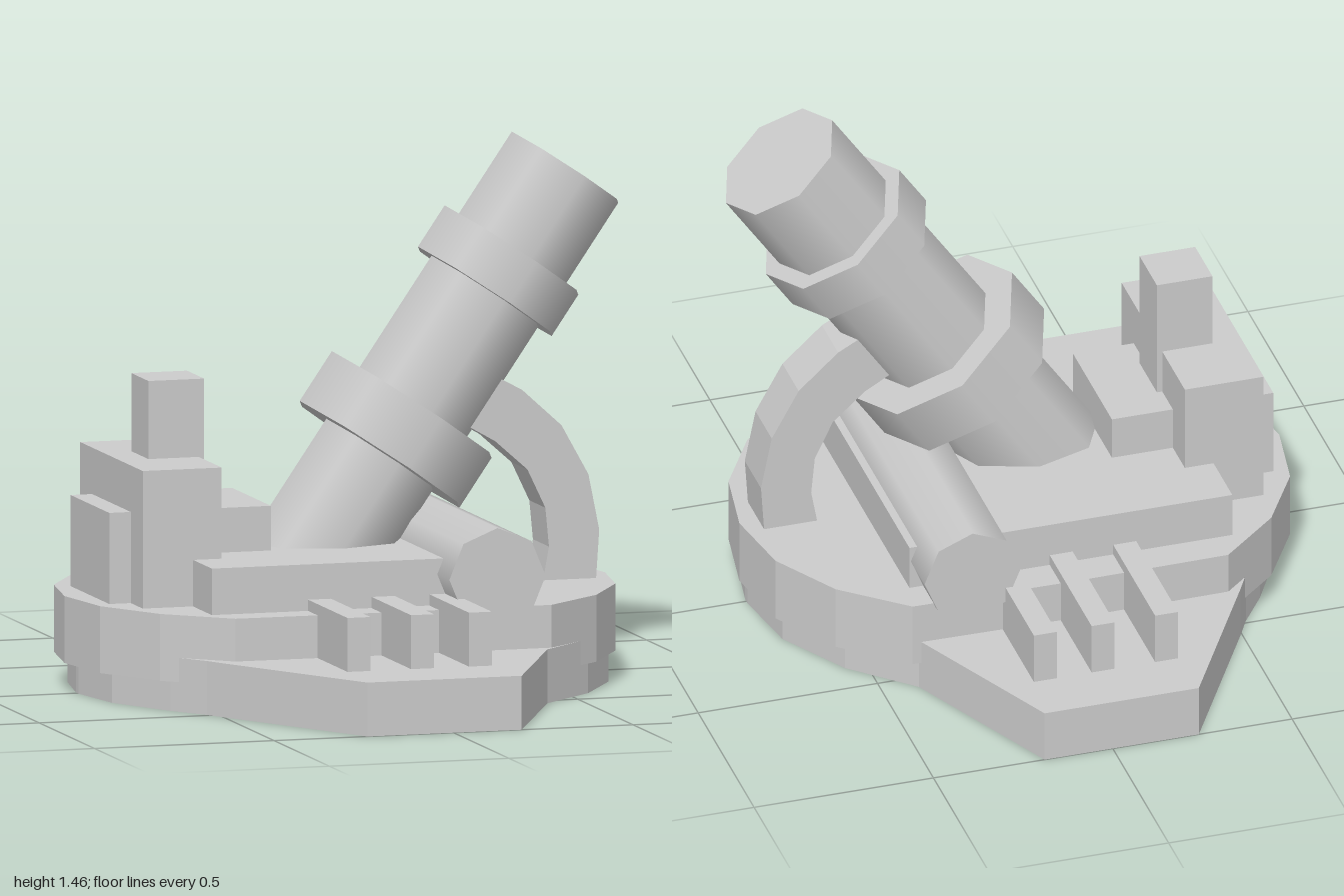
import * as THREE from 'three';

const material = new THREE.MeshStandardMaterial({ color: 0xcccccc });

export function createModel() {
  const model = new THREE.Group();

  function add(name, geometry, parent = model) {
    const mesh = new THREE.Mesh(geometry, material);
    mesh.name = name;
    parent.add(mesh);
    return mesh;
  }

  // Box given by its lower and upper corners
  function box(name, [x0, y0, z0], [x1, y1, z1]) {
    add(name, new THREE.BoxGeometry(x1 - x0, y1 - y0, z1 - z0))
      .position.set((x0 + x1) / 2, (y0 + y1) / 2, (z0 + z1) / 2);
  }

  function prism(points, depth) {
    const shape = new THREE.Shape(points.map(([x, y]) => new THREE.Vector2(x, y)));
    return new THREE.ExtrudeGeometry(shape, { depth, bevelEnabled: false });
  }

  // Horizontal slab from an (x, z) outline
  function slab(name, outline, y0, y1) {
    const geometry = prism(outline.map(([x, z]) => [x, -z]), y1 - y0);
    geometry.rotateX(-Math.PI / 2);
    add(name, geometry).position.y = y0;
  }

  // Front half of an outline plus its mirrored back half about z = zc
  const mirrored = (half, zc) =>
    [...half, ...half.map(([x, z]) => [x, -z]).reverse()].map(([x, z]) => [x, z + zc]);

  // Footing with tapering wings front and back
  slab('basePlate', [
    ...mirrored([
      [-0.74, 0.01], [-0.705, 0.2], [-0.6, 0.39], [-0.53, 0.49], [-0.495, 0.555], [-0.24, 1],
      [0.19, 1], [0.4, 0.55], [0.56, 0.4], [0.675, 0.21], [0.71, 0.01],
    ], 0),
  ], 0, 0.145);

  // Wide many-sided turntable
  slab('turntable', mirrored([
    [-0.77, 0.001], [-0.735, 0.21], [-0.625, 0.395], [-0.46, 0.54], [-0.02, 0.546],
    [0.42, 0.54], [0.59, 0.395], [0.7, 0.21], [0.735, 0.001],
  ], -0.018), 0.08, 0.26);

  box('deck', [-0.5, 0.25, -0.465], [0.4, 0.385, 0.438]);

  // Ribs running across the wings
  for (const x of [-0.2, -0.023, 0.138])
    box('rib', [x - 0.032, 0.1, -0.84], [x + 0.032, 0.29, 0.795]);

  // Stepped control housing
  box('housingLower', [-0.7, 0.25, -0.19], [-0.25, 0.505, 0.16]);
  box('housingMiddle', [-0.64, 0.25, -0.297], [-0.42, 0.63, 0.268]);
  box('housingTower', [-0.56, 0.5, -0.095], [-0.405, 0.84, 0.06]);

  // Pivot drum across the deck
  const drum = new THREE.CylinderGeometry(0.134, 0.134, 1.135, 8);
  drum.rotateX(Math.PI / 2);
  add('pivotDrum', drum).position.set(0.262, 0.343, -0.02);

  // Tilted barrel: the group origin is the muzzle, sections run down its -y axis
  const barrel = new THREE.Group();
  barrel.name = 'barrel';
  barrel.position.set(0.6175, 1.3575, 0.004);
  barrel.rotation.z = -0.603;
  model.add(barrel);
  const sections = [
    ['barrelTube', 0.18, 0, 1.32],
    ['upperCollar', 0.226, 0.263, 0.394],
    ['lowerCollar', 0.27, 0.753, 0.911],
  ];
  for (const [name, radius, from, to] of sections) {
    const geometry = new THREE.CylinderGeometry(radius, radius, to - from, 8);
    geometry.rotateY(Math.PI / 2);
    add(name, geometry, barrel).position.y = -(from + to) / 2;
  }

  // Curved support from the turntable up to the barrel
  const arc = prism([
    [0.53, 0.24], [0.68, 0.24], [0.69, 0.39], [0.66, 0.54], [0.585, 0.675], [0.475, 0.775],
    [0.41, 0.81], [0.33, 0.68], [0.4, 0.64], [0.49, 0.56], [0.54, 0.455], [0.55, 0.35],
  ], 0.145);
  add('curvedSupport', arc).position.z = -0.067;

  return model;
}
